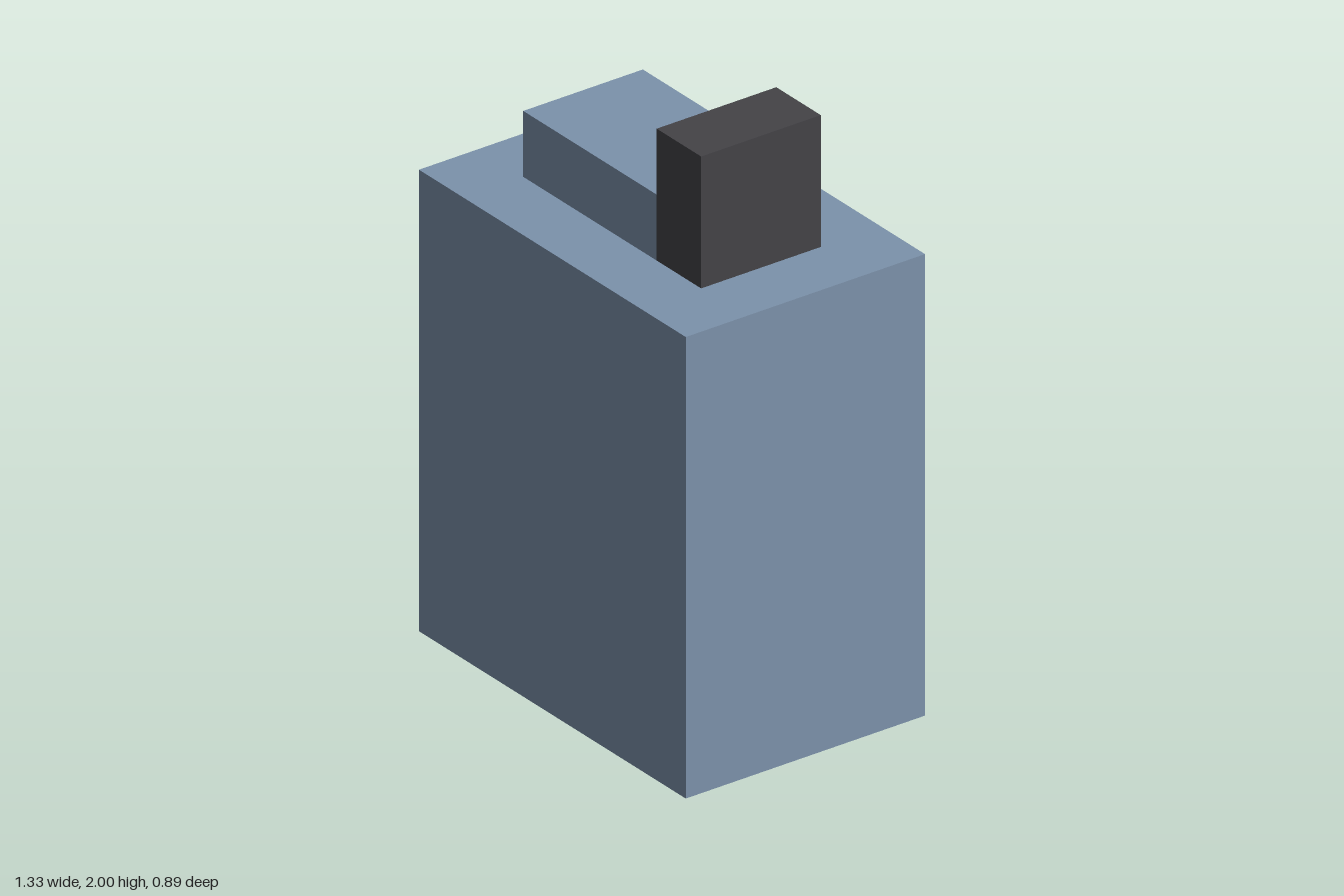
import * as THREE from 'three';

// Every dimension is a multiple of this block unit
const U = 2 / 9;

function material(name, color) {
  const m = new THREE.MeshStandardMaterial({ color });
  m.name = name;
  return m;
}

// Box given by its size and the centre of its base, in block units
function block(name, mat, [w, h, d], [x, y, z]) {
  const mesh = new THREE.Mesh(new THREE.BoxGeometry(w * U, h * U, d * U), mat);
  mesh.name = name;
  mesh.position.set(x * U, (y + h / 2) * U, z * U);
  return mesh;
}

// Square outline with rounded corners, centred on the origin
function roundedSquare(size, r) {
  const a = size / 2, b = a - r;
  const s = new THREE.Shape();
  s.absarc(b, b, r, 0, Math.PI / 2);
  s.absarc(-b, b, r, Math.PI / 2, Math.PI);
  s.absarc(-b, -b, r, Math.PI, Math.PI * 1.5);
  s.absarc(b, -b, r, Math.PI * 1.5, Math.PI * 2);
  s.closePath();
  return s;
}

export function createModel() {
  const blue = material('slate blue', 0x7c92ab);
  const dark = material('charcoal', 0x444347);
  const teal = material('muted teal', 0x67979c);

  const model = new THREE.Group();
  model.name = 'canister';

  // Body, raised top step and the upright block beside it
  model.add(
    block('body', blue, [6, 7, 4], [0, 0, 0]),
    block('topStep', blue, [3, 1, 2], [-0.5, 7, 0]),
    block('nozzle', dark, [1, 2, 2], [1.5, 7, 0])
  );

  // Thin label on the back
  const thickness = 0.003;
  const label = new THREE.Mesh(
    new THREE.ExtrudeGeometry(roundedSquare(4 * U, 0.045), {
      depth: thickness, bevelEnabled: false, curveSegments: 6
    }),
    teal
  );
  label.name = 'backLabel';
  label.position.set(0, 3 * U, -2 * U - thickness);
  model.add(label);

  return model;
}
